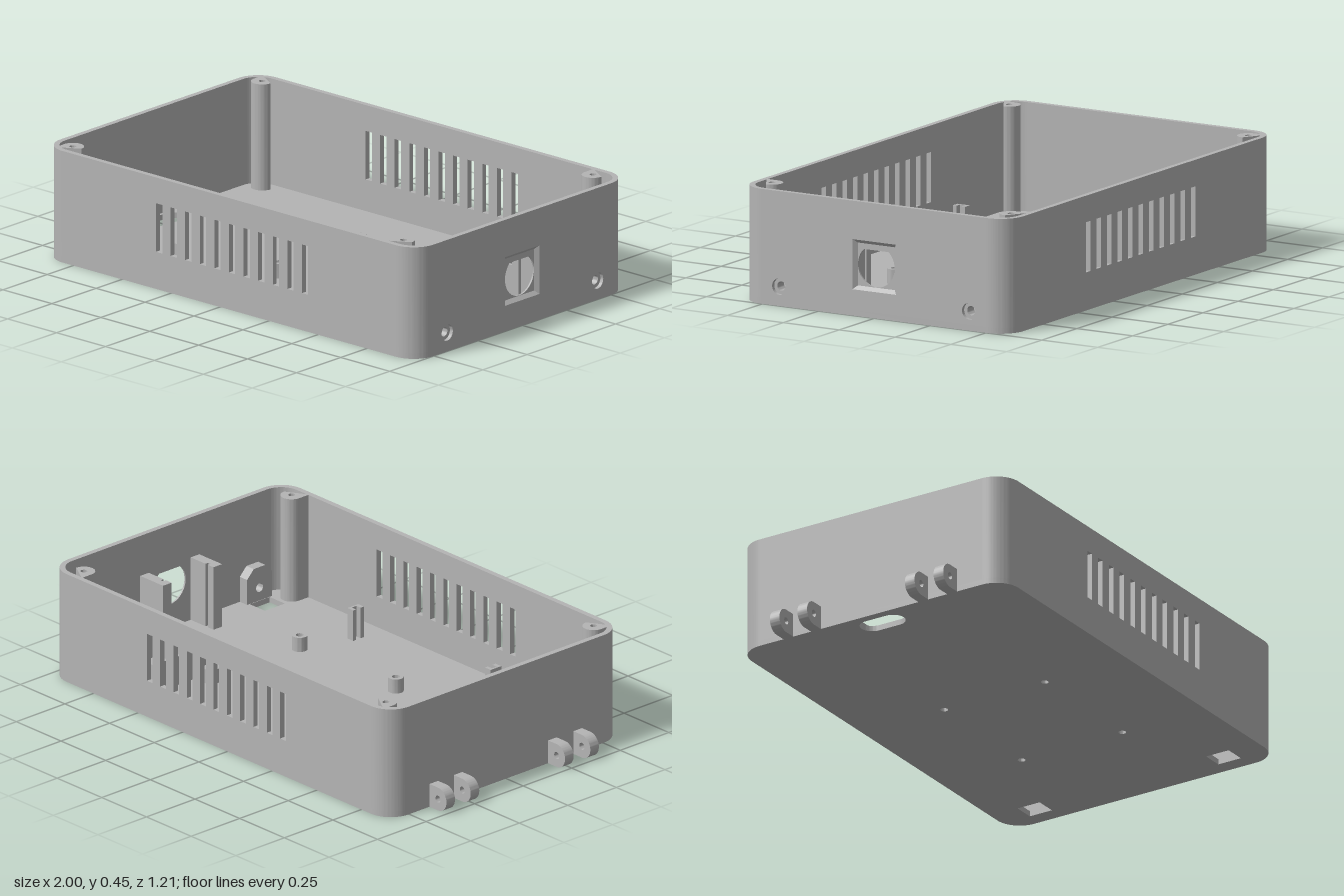
import * as THREE from 'three';
import { toCreasedNormals } from 'three/addons/utils/BufferGeometryUtils.js';

const X0 = -0.905, X1 = 1, Z = 0.603, H = 0.445, T = 0.022, R = 0.1;

const grey = new THREE.MeshStandardMaterial({ color: 0xb4b4b4, side: THREE.DoubleSide });
grey.name = 'grey plastic';

// Shape helpers
const poly = (pts) => new THREE.Shape(pts.map(([x, y]) => new THREE.Vector2(x, y)));
const rect = (x0, y0, x1, y1) => poly([[x0, y0], [x1, y0], [x1, y1], [x0, y1]]);
const circle = (x, y, r) => new THREE.Shape().absarc(x, y, r, 0, Math.PI * 2, false);
function cut(shape, ...holes) {
  shape.holes.push(...holes);
  return shape;
}

export function createModel() {
  const group = new THREE.Group();
  group.name = 'openEnclosure';

  function add(name, geometry) {
    const mesh = new THREE.Mesh(toCreasedNormals(geometry, 0.5), grey);
    mesh.name = name;
    group.add(mesh);
    return mesh;
  }
  const extrude = (shape, depth) =>
    new THREE.ExtrudeGeometry(shape, { depth, bevelEnabled: false, curveSegments: 16 });
  // Plan shape (x, -z) raised from y0 to y1
  const rise = (name, shape, y0, y1) =>
    add(name, extrude(shape, y1 - y0).rotateX(-Math.PI / 2).translate(0, y0, 0));
  // Elevation shape (x, y) pushed from z0 to z1
  const alongZ = (name, shape, z0, z1) =>
    add(name, extrude(shape, z1 - z0).translate(0, 0, z0));
  // Elevation shape (-z, y) pushed from x0 to x1
  const alongX = (name, shape, x0, x1) =>
    add(name, extrude(shape, x1 - x0).rotateY(Math.PI / 2).translate(x0, 0, 0));

  // Floor with rounded corners and openings
  const floor = new THREE.Shape();
  floor.absarc(X1 - R, Z - R, R, 0, Math.PI / 2, false);
  floor.absarc(X0 + R, Z - R, R, Math.PI / 2, Math.PI, false);
  floor.absarc(X0 + R, -Z + R, R, Math.PI, Math.PI * 1.5, false);
  floor.absarc(X1 - R, -Z + R, R, Math.PI * 1.5, Math.PI * 2, false);
  const cableSlot = new THREE.Shape();
  cableSlot.absarc(-0.822, 0.047, 0.048, 0, Math.PI, false);
  cableSlot.absarc(-0.822, -0.047, 0.048, Math.PI, Math.PI * 2, false);
  cut(floor, cableSlot, rect(0.85, 0.38, 0.935, 0.48), rect(0.85, -0.475, 0.935, -0.373));
  const standoffs = [];
  for (const x of [-0.043, 0.495]) for (const z of [-0.23, 0.225]) standoffs.push([x, z]);
  for (const [x, z] of standoffs) cut(floor, circle(x, -z, 0.015));
  rise('floor', floor, 0, T);

  // Board standoffs
  for (const [x, z] of standoffs) {
    rise('standoff', cut(circle(x, -z, 0.03), circle(x, -z, 0.015)), T, 0.08);
  }

  // Long walls with ventilation slots
  for (const side of [-1, 1]) {
    const wall = rect(X0 + R, T, X1 - R, H);
    for (let i = 0; i < 11; i++) {
      const x = -0.311 + i * 0.0746;
      cut(wall, rect(x - 0.016, 0.148, x + 0.016, 0.342));
    }
    const z0 = side > 0 ? Z - T : -Z;
    alongZ(side > 0 ? 'frontWall' : 'backWall', wall, z0, z0 + T);
  }

  // Plain end wall
  alongX('rightEndWall', rect(-Z + R, T, Z - R, H), X0, X0 + T);

  // Socket end wall: outer layer with recesses, inner layer with through holes
  const outer = cut(rect(-Z + R, T, Z - R, H), rect(-0.097, 0.102, 0.097, 0.296));
  const inner = rect(-Z + R, T, Z - R, H);
  const flat = Math.asin(0.061 / 0.082);
  cut(inner, new THREE.Shape().absarc(0, 0.199, 0.082, Math.PI - flat, Math.PI * 2 + flat, false));
  for (const u of [-0.425, 0.425]) {
    cut(outer, circle(u, 0.075, 0.032));
    cut(inner, circle(u, 0.075, 0.018));
  }
  alongX('socketWallOuter', outer, 0.985, X1);
  alongX('socketWallInner', inner, X1 - T, 0.985);
  const bevel = new THREE.CylinderGeometry(
    0.097 * Math.SQRT2, 0.083 * Math.SQRT2, 0.015, 4, 1, true, Math.PI / 4);
  add('socketBevel', bevel.rotateZ(-Math.PI / 2).translate(0.9925, 0.199, 0));

  // Rounded wall corners and screw posts
  const corners = [[X1 - R, 1, 0], [X0 + R, 1, 1], [X0 + R, -1, 2], [X1 - R, -1, 3]];
  for (const [cx, s, quarter] of corners) {
    const a = quarter * Math.PI / 2, cy = s * (Z - R);
    const ring = new THREE.Shape();
    ring.absarc(cx, cy, R, a, a + Math.PI / 2, false);
    ring.absarc(cx, cy, R - T, a + Math.PI / 2, a, true);
    rise('wallCorner', ring, T, H);

    const px = cx > 0 ? 0.877 : -0.813, py = s * 0.535, r = 0.043;
    const post = new THREE.Shape();
    post.moveTo(px + r, s * 0.586);
    post.absarc(px, py, r, 0, Math.PI, s > 0);
    post.lineTo(px - r, s * 0.586);
    cut(post, circle(px, py, 0.013));
    rise('screwPost', post, T, H);
  }

  // Hinge lugs on the plain end
  for (const z of [-0.373, -0.248, 0.238, 0.368]) {
    const lug = new THREE.Shape();
    lug.moveTo(X0 + 0.005, 0);
    lug.lineTo(X0 + 0.005, 0.094);
    lug.absarc(-0.953, 0.047, 0.047, Math.PI / 2, Math.PI * 1.5, false);
    cut(lug, circle(-0.953, 0.047, 0.014));
    alongZ('hingeLug', lug, z - 0.022, z + 0.022);
  }

  // Screw blocks, chamfered, and grooved socket holders
  for (const s of [-1, 1]) {
    const u = s * 0.425;
    const block = poly([[u - 0.064, T], [u + 0.064, T], [u + 0.064, 0.125],
      [u + 0.03, 0.16], [u - 0.03, 0.16], [u - 0.064, 0.125]]);
    alongX('screwBlock', cut(block, circle(u, 0.075, 0.018)), 0.937, X1 - T);

    const a = s * 0.108, b = s * 0.152, g = s * 0.122;
    rise('socketHolder', poly([[0.85, a], [0.85, b], [0.98, b], [0.98, a],
      [0.895, a], [0.895, g], [0.882, g], [0.882, a]]), T, 0.28);
  }

  // Grooved board clips near the front wall
  for (const [x, s] of [[-0.34, 1], [0.429, -1]]) {
    const e = x + s * 0.016, i = x - s * 0.008, o = x - s * 0.016;
    rise('boardClip', poly([[o, -0.425], [e, -0.425], [e, -0.44], [i, -0.44],
      [i, -0.463], [e, -0.463], [e, -0.48], [o, -0.48]]), T, 0.148);
  }

  // Square module frame, open on one side
  const w = 0.013;
  rise('moduleFrame', poly([[0.825, 0.365], [0.825, 0.473], [0.555, 0.473], [0.555, 0.2],
    [0.825, 0.2], [0.825, 0.303], [0.825 - w, 0.303], [0.825 - w, 0.2 + w],
    [0.555 + w, 0.2 + w], [0.555 + w, 0.473 - w], [0.825 - w, 0.473 - w],
    [0.825 - w, 0.365]]), T, 0.14);

  return group;
}
